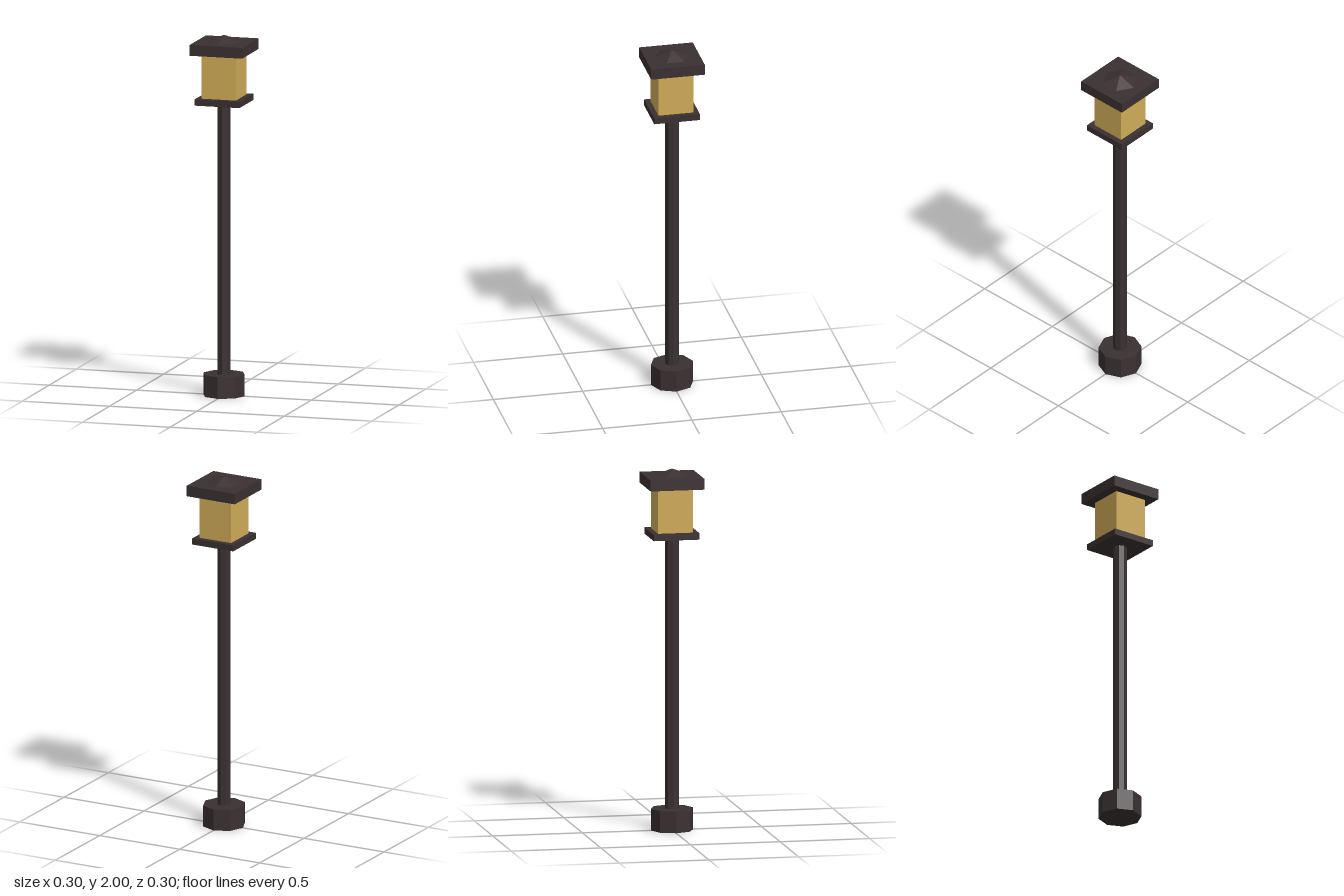
import * as THREE from 'three';

export function createModel() {
  const model = new THREE.Group();
  model.name = 'lampPost';

  const iron = new THREE.MeshStandardMaterial({ color: 0x3a3031, flatShading: true });
  iron.name = 'dark iron';
  const amber = new THREE.MeshStandardMaterial({ color: 0xd0ac58, flatShading: true });
  amber.name = 'amber glass';

  // Adds a part whose underside sits at y = bottom
  const add = (name, geometry, material, bottom, height) => {
    const mesh = new THREE.Mesh(geometry, material);
    mesh.name = name;
    mesh.position.y = bottom + height / 2;
    model.add(mesh);
  };
  const prism = (name, top, base, sides, y0, y1) =>
    add(name, new THREE.CylinderGeometry(top, base, y1 - y0, sides), iron, y0, y1 - y0);
  const slab = (name, width, material, y0, y1) =>
    add(name, new THREE.BoxGeometry(width, y1 - y0, width), material, y0, y1 - y0);

  // Octagonal foot and slim post
  prism('base', 0.118, 0.118, 8, 0, 0.12);
  prism('post', 0.038, 0.038, 8, 0.12, 1.625);

  // Square lantern: tray, glass and roof
  slab('lanternTray', 0.256, iron, 1.625, 1.66);
  slab('lanternGlass', 0.196, amber, 1.66, 1.905);
  slab('roofSlab', 0.3, iron, 1.905, 1.965);

  // Low six-sided cap with a tiny blunt tip
  prism('roofCap', 0.008, 0.1, 6, 1.965, 2);

  return model;
}
